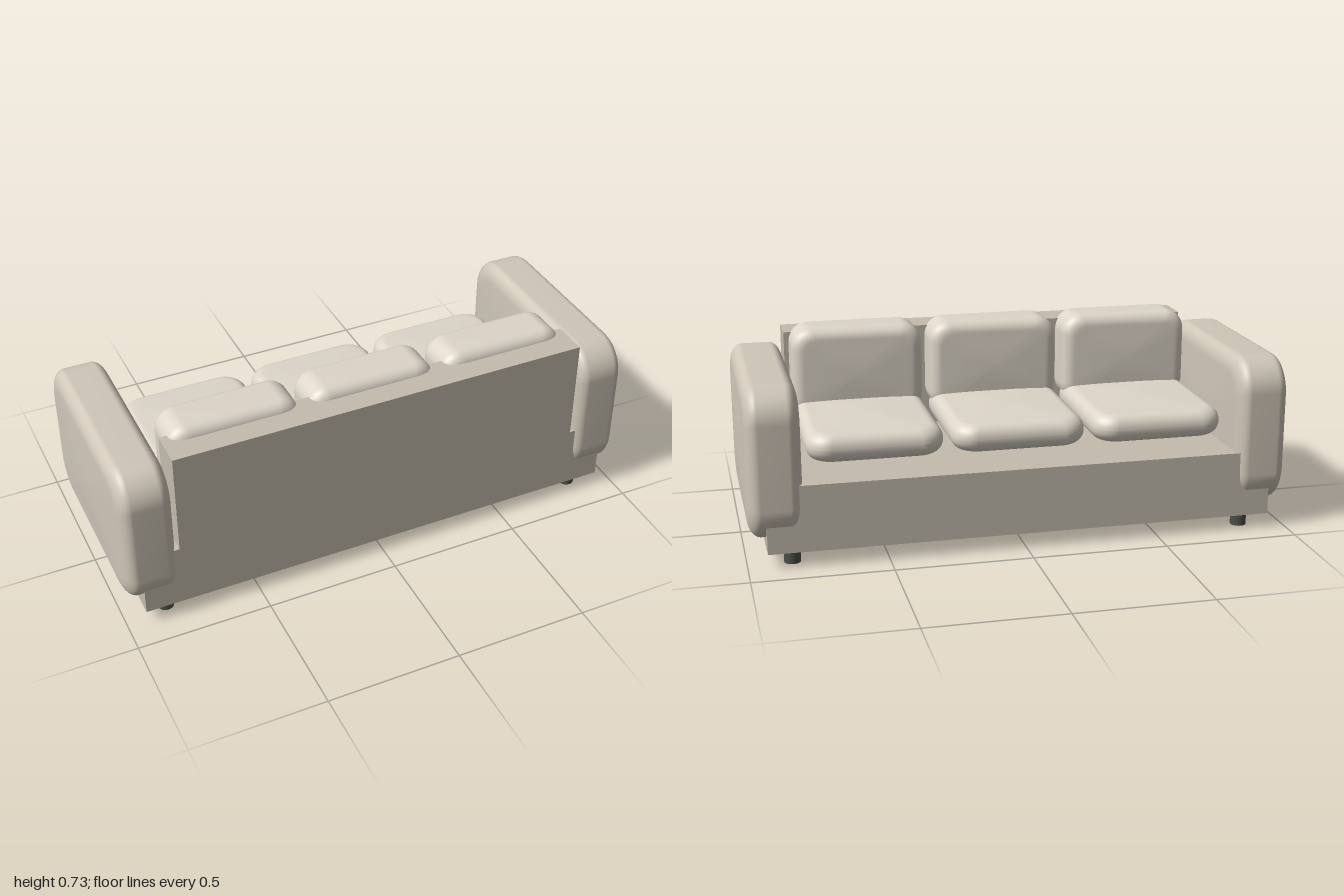
import * as THREE from 'three';

const frameMat = new THREE.MeshStandardMaterial({ color: 0xc3bcae });
const armMat = new THREE.MeshStandardMaterial({ color: 0xcfc6b8 });
const cushionMat = new THREE.MeshStandardMaterial({ color: 0xddd5c8 });
const legMat = new THREE.MeshStandardMaterial({ color: 0x4a4f4b });

// Counter-clockwise rounded rectangle as a ring of points
function roundedRing(w, h, r, steps = 8) {
  const pts = [];
  for (let q = 0; q < 4; q++) {
    const cx = (q === 0 || q === 3 ? 1 : -1) * (w / 2 - r);
    const cy = (q < 2 ? 1 : -1) * (h / 2 - r);
    for (let i = 0; i <= steps; i++) {
      const a = (q + i / steps) * Math.PI / 2;
      pts.push([cx + r * Math.cos(a), cy + r * Math.sin(a)]);
    }
  }
  return pts;
}

// Soft padded slab: outline in XY, thickness along Z, rounded rim and slightly domed faces
function padGeometry({ w, h, depth, corner, rimInset, rimDepth, dome }) {
  const half = depth / 2 - dome;
  const side = [];
  for (const s of [0.02, 0.2, 0.4, 0.6, 0.8, 0.92]) side.push({ s, inset: rimInset, z: half, bulge: dome });
  for (let i = 0; i <= 8; i++) {
    const t = (1 - i / 8) * Math.PI / 2;
    side.push({ s: 1, inset: rimInset * (1 - Math.cos(t)), z: half - rimDepth * (1 - Math.sin(t)), bulge: 0 });
  }
  const rings = [...side, ...side.slice().reverse().map(r => ({ ...r, z: -r.z, bulge: -r.bulge }))];
  const pos = [], idx = [];
  let n = 0;
  for (const { s, inset, z, bulge } of rings) {
    const ring = roundedRing(w - 2 * inset, h - 2 * inset, Math.max(corner - inset * 0.6, 0.01));
    n = ring.length;
    for (const [x, y] of ring) {
      const u = x * s / (w / 2 - inset), v = y * s / (h / 2 - inset);
      pos.push(x * s, y * s, z + bulge * (1 - u * u) * (1 - v * v));
    }
  }
  for (let i = 0; i < rings.length - 1; i++) {
    for (let j = 0; j < n; j++) {
      const k = (j + 1) % n, a = i * n, b = a + n;
      idx.push(a + j, b + j, b + k, a + j, b + k, a + k);
    }
  }
  // Close the tiny centre of each face
  const last = (rings.length - 1) * n;
  for (let j = 1; j < n - 1; j++) idx.push(0, j, j + 1, last, last + j + 1, last + j);
  const g = new THREE.BufferGeometry();
  g.setAttribute('position', new THREE.Float32BufferAttribute(pos, 3));
  g.setIndex(idx);
  g.computeVertexNormals();
  return g;
}

export function createModel() {
  const group = new THREE.Group();
  const add = (name, geo, mat, x, y, z) => {
    const m = new THREE.Mesh(geo, mat);
    m.name = name;
    m.position.set(x, y, z);
    group.add(m);
  };

  // Base and backrest panel (the seat opens towards -z)
  add('base', new THREE.BoxGeometry(1.86, 0.245, 0.794), frameMat, 0, 0.1775, 0);
  add('backrest', new THREE.BoxGeometry(1.58, 0.393, 0.137), frameMat, 0, 0.4965, 0.3285);

  // Padded arms
  const armGeo = padGeometry({ w: 0.828, h: 0.558, depth: 0.21, corner: 0.125, rimInset: 0.065, rimDepth: 0.045, dome: 0.008 });
  armGeo.rotateY(Math.PI / 2);
  for (const s of [1, -1]) add(s > 0 ? 'leftArm' : 'rightArm', armGeo, armMat, s * 0.895, 0.37, 0);

  // Three seat cushions with three back cushions
  const seatGeo = padGeometry({ w: 0.495, h: 0.595, depth: 0.12, corner: 0.085, rimInset: 0.045, rimDepth: 0.05, dome: 0.008 });
  seatGeo.rotateX(-Math.PI / 2);
  const backGeo = padGeometry({ w: 0.495, h: 0.35, depth: 0.2, corner: 0.075, rimInset: 0.045, rimDepth: 0.045, dome: 0.006 });
  for (const x of [-0.525, 0, 0.525]) {
    add('seatCushion', seatGeo, cushionMat, x, 0.398, -0.0375);
    add('backCushion', backGeo, cushionMat, x, 0.553, 0.2175);
  }

  // Round legs
  const legGeo = new THREE.CylinderGeometry(0.03, 0.03, 0.056, 24);
  for (const x of [-0.84, 0.84]) {
    for (const z of [-0.333, 0.333]) add('leg', legGeo, legMat, x, 0.028, z);
  }
  return group;
}
